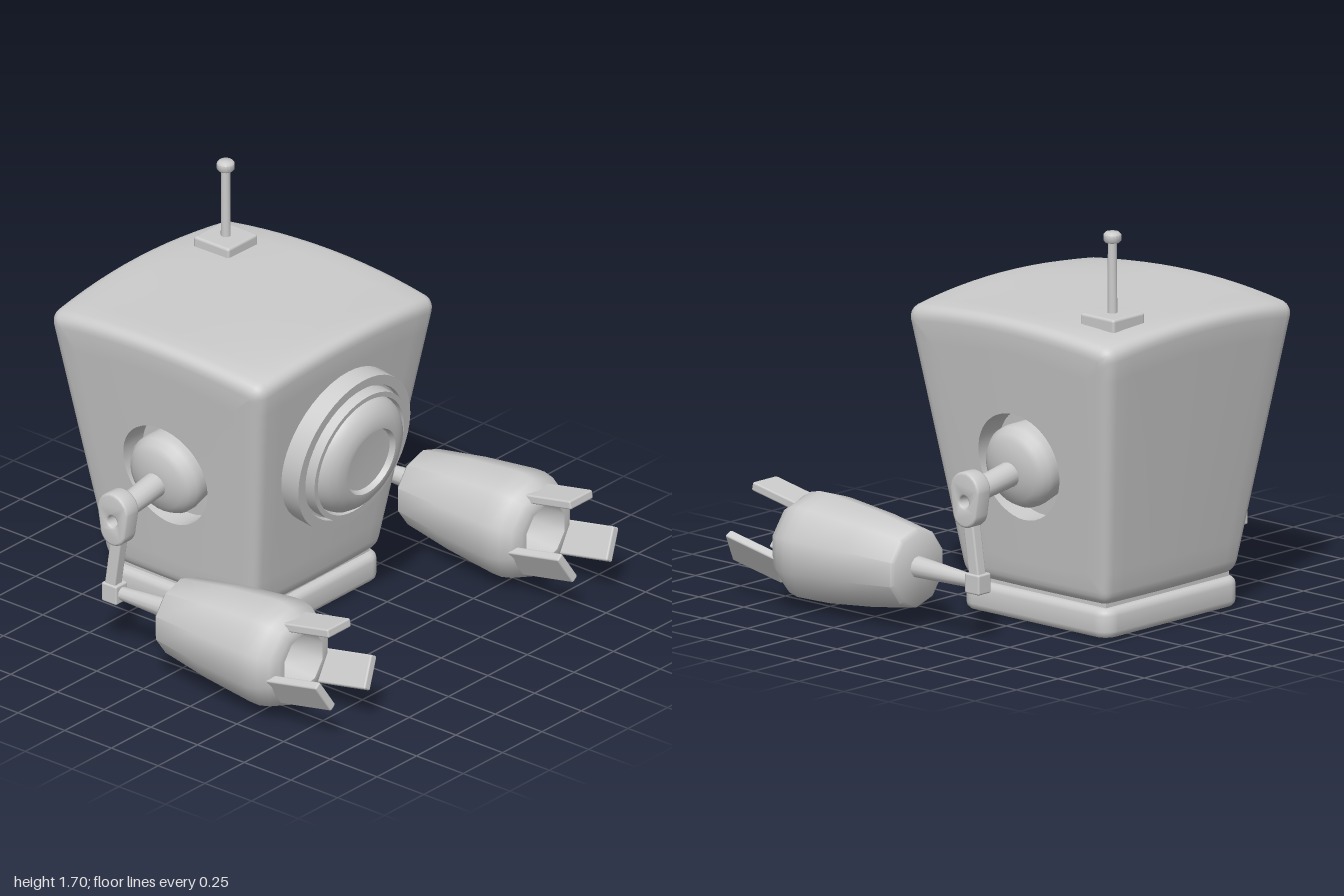
import * as THREE from 'three';
import { toCreasedNormals } from 'three/addons/utils/BufferGeometryUtils.js';
import { RoundedBoxGeometry } from 'three/addons/geometries/RoundedBoxGeometry.js';

const grey = new THREE.MeshStandardMaterial({ color: 0xcccccc });
const CX = -0.315, TILT = 0.147;
const UP = new THREE.Vector3(0, 1, 0);
const V = (x, y, z) => new THREE.Vector3(x, y, z);

// Smooth below the crease angle, sharp above it
function crease(geo, angle = 0.8) {
  geo.scale(100, 100, 100);
  return toCreasedNormals(geo, angle).scale(0.01, 0.01, 0.01);
}

function add(parent, name, geo, x = 0, y = 0, z = 0) {
  const mesh = new THREE.Mesh(geo, grey);
  mesh.name = name;
  mesh.position.set(x, y, z);
  parent.add(mesh);
  return mesh;
}

// Turned part: profile of [radius, height] pointing along dir
function turned(parent, name, profile, pos, dir, sides) {
  const geo = new THREE.LatheGeometry(profile.map(([r, h]) => new THREE.Vector2(r, h)), sides);
  const mesh = add(parent, name, crease(geo), pos.x, pos.y, pos.z);
  mesh.quaternion.setFromUnitVectors(UP, dir.clone().normalize());
  return mesh;
}

function rod(parent, name, a, b, ra, rb, sides = 16) {
  const h = a.distanceTo(b);
  return turned(parent, name, [[0, 0], [ra, 0], [rb, h], [0, h]], a, b.clone().sub(a), sides);
}

// Unit cube point -> rounded, tapered, slightly bulging body
function shapeBody(p) {
  const R = 0.1, k = 1 - R;
  const inner = p.clone().clamp(V(-k, -k, -k), V(k, k, k));
  const d = p.clone().sub(inner);
  const q = d.length() > 1e-6 ? inner.add(d.setLength(R)) : p;
  const t = (q.y + 1) / 2, s = 0.41 + 0.18 * t;
  return V(
    -0.312 + s * q.x * (1 - 0.03 * q.z * q.z),
    0.14 + 1.18 * t - 0.05 * t * q.x * q.x * q.z * q.z,
    s * q.z * (1 - 0.03 * q.x * q.x));
}

function bodyGeometry() {
  const pos = [], idx = [];
  const grid = (nu, nv, fn, flip) => {
    const base = pos.length / 3;
    for (let i = 0; i <= nu; i++)
      for (let j = 0; j <= nv; j++) pos.push(...shapeBody(fn(i, j)).toArray());
    for (let i = 0; i < nu; i++)
      for (let j = 0; j < nv; j++) {
        const a = base + i * (nv + 1) + j, b = a + nv + 1;
        if (flip) idx.push(a, b + 1, b, a, a + 1, b + 1);
        else idx.push(a, b, b + 1, a, b + 1, a + 1);
      }
  };
  // grid lines, closer together at the rounded edges
  const g = [-1, -0.97, -0.94];
  for (let i = 0; i <= 12; i++) g.push(-0.9 + 0.15 * i);
  g.push(0.94, 0.97, 1);
  const n = g.length - 1;
  grid(n, n, (i, j) => V(1, g[i], g[j]));
  grid(n, n, (i, j) => V(-1, g[j], g[i]));
  grid(n, n, (i, j) => V(g[j], 1, g[i]));
  grid(n, n, (i, j) => V(g[i], -1, g[j]));

  // side walls: square outline blending into a round shoulder recess
  const rim = [];
  for (let i = 0; i < n; i++) rim.push([1, g[i]]);
  for (let i = 0; i < n; i++) rim.push([-g[i], 1]);
  for (let i = 0; i < n; i++) rim.push([-1, -g[i]]);
  for (let i = 0; i <= n; i++) rim.push([g[i], -1]);
  const scales = [1, 0.97, 0.94, 0.9];
  for (const s of [1, -1])
    grid(rim.length - 1, 9, (i, j) => {
      const [x, y] = rim[i], a = Math.atan2(y, x);
      if (j < 4) return V(x * scales[j], y * scales[j], s);
      const ex = 0.467 * Math.cos(a), ey = -0.085 + 0.39 * Math.sin(a);
      if (j === 9) return V(0, -0.085, s * 0.74);
      if (j === 8) return V(ex, ey, s * 0.74);
      const t = (j - 3) / 4;
      return V(0.9 * x * (1 - t) + ex * t, 0.9 * y * (1 - t) + ey * t, s);
    }, s < 0);

  const geo = new THREE.BufferGeometry();
  geo.setAttribute('position', new THREE.Float32BufferAttribute(pos, 3));
  geo.setIndex(idx);
  return crease(geo, 0.9);
}

// Square foot with a round socket underneath
function baseGeometry() {
  const h = 0.38, r = 0.04, s = new THREE.Shape();
  s.absarc(h - r, h - r, r, 0, Math.PI / 2);
  s.absarc(r - h, h - r, r, Math.PI / 2, Math.PI);
  s.absarc(r - h, r - h, r, Math.PI, Math.PI * 1.5);
  s.absarc(h - r, r - h, r, Math.PI * 1.5, Math.PI * 2);
  s.holes.push(new THREE.Path().absarc(0, 0, 0.22, 0, Math.PI * 2, true));
  const geo = new THREE.ExtrudeGeometry(s, {
    depth: 0.065, bevelThickness: 0.03, bevelSize: 0.03, bevelSegments: 3, curveSegments: 16 });
  geo.rotateX(-Math.PI / 2).translate(0, 0.03, 0);
  return crease(geo);
}

// Shoulder plate, rounded at both ends, with a pin hole
function linkGeometry() {
  const s = new THREE.Shape();
  s.absarc(0, 0.035, 0.07, 0, Math.PI);
  s.absarc(0, -0.055, 0.055, Math.PI, Math.PI * 2);
  s.holes.push(new THREE.Path().absarc(0, -0.01, 0.035, 0, Math.PI * 2, true));
  const geo = new THREE.ExtrudeGeometry(s, {
    depth: 0.06, bevelThickness: 0.01, bevelSize: 0.01, bevelSegments: 2, curveSegments: 10 });
  return crease(geo.translate(0, 0, -0.03));
}

function makeArm(s) {
  const arm = new THREE.Group();
  arm.name = s > 0 ? 'leftArm' : 'rightArm';
  turned(arm, 'shoulderDome',
    [[0.165, -0.13], [0.178, -0.03], [0.175, 0.0], [0.155, 0.03], [0.13, 0.045], [0.08, 0.06], [0, 0.066]],
    V(CX, 0.68, s * 0.495), V(0, -Math.sin(TILT), s * Math.cos(TILT)), 32);
  rod(arm, 'upperArm', V(CX, 0.67, s * 0.5), V(CX, 0.625, s * 0.78), 0.055, 0.048);
  add(arm, 'shoulderLink', linkGeometry(), CX, 0.605, s * 0.788);
  const bar = add(arm, 'forearm', new RoundedBoxGeometry(0.055, 0.29, 0.05, 2, 0.008), -0.333, 0.385, s * 0.78);
  bar.rotation.z = -TILT;
  add(arm, 'elbow', new RoundedBoxGeometry(0.08, 0.085, 0.075, 2, 0.008), -0.345, 0.25, s * 0.775);
  rod(arm, 'wrist', V(-0.32, 0.25, s * 0.772), V(0.02, 0.26, s * 0.772), 0.028, 0.047, 12);

  // hollow ten-sided hand
  const hand = turned(arm, 'hand',
    [[0, 0], [0.15, 0], [0.167, 0.015], [0.205, 0.25], [0.232, 0.5], [0.233, 0.55], [0.222, 0.6],
      [0.195, 0.645], [0.16, 0.67], [0.127, 0.67], [0.115, 0.5], [0, 0.5]],
    V(-0.01, 0.25, s * 0.768), V(1, 0, 0), 10);
  hand.rotateY(Math.PI / 10);

  // three fingers around the opening
  const fingers = new THREE.Group();
  fingers.name = 'fingers';
  fingers.position.set(0.62, 0.25, s * 0.768);
  fingers.rotation.z = 0.19;
  for (let i = 0; i < 3; i++) {
    const pivot = new THREE.Group();
    pivot.rotation.x = i * Math.PI * 2 / 3;
    add(pivot, 'finger', new RoundedBoxGeometry(0.28, 0.038, 0.145, 2, 0.008), 0.13, 0.165, 0);
    fingers.add(pivot);
  }
  arm.add(fingers);
  return arm;
}

export function createModel() {
  const model = new THREE.Group();
  model.name = 'robot';
  add(model, 'body', bodyGeometry());
  add(model, 'base', baseGeometry(), CX, 0, 0);
  add(model, 'neck', new THREE.BoxGeometry(0.74, 0.1, 0.74), CX, 0.12, 0);

  // round eye on the leaning face
  turned(model, 'eye',
    [[0.35, -0.12], [0.35, 0], [0.307, 0], [0.302, -0.02], [0.293, -0.02], [0.29, 0.035], [0.268, 0.035],
      [0.262, 0.01], [0.255, 0.035], [0.235, 0.06], [0.205, 0.08], [0.17, 0.092], [0.15, 0.093],
      [0.14, 0.07], [0, 0.065]],
    V(0.285, 0.79, 0), V(Math.cos(TILT), -Math.sin(TILT), 0), 48);

  // antenna
  add(model, 'antennaPlate', new RoundedBoxGeometry(0.19, 0.07, 0.19, 2, 0.012), -0.665, 1.325, -0.31);
  rod(model, 'antennaRod', V(-0.665, 1.33, -0.31), V(-0.665, 1.67, -0.31), 0.021, 0.019, 12);
  turned(model, 'antennaKnob',
    [[0, 0], [0.03, 0], [0.037, 0.008], [0.037, 0.033], [0.028, 0.043], [0, 0.045]],
    V(-0.665, 1.657, -0.31), UP, 16);

  model.add(makeArm(1), makeArm(-1));
  return model;
}
